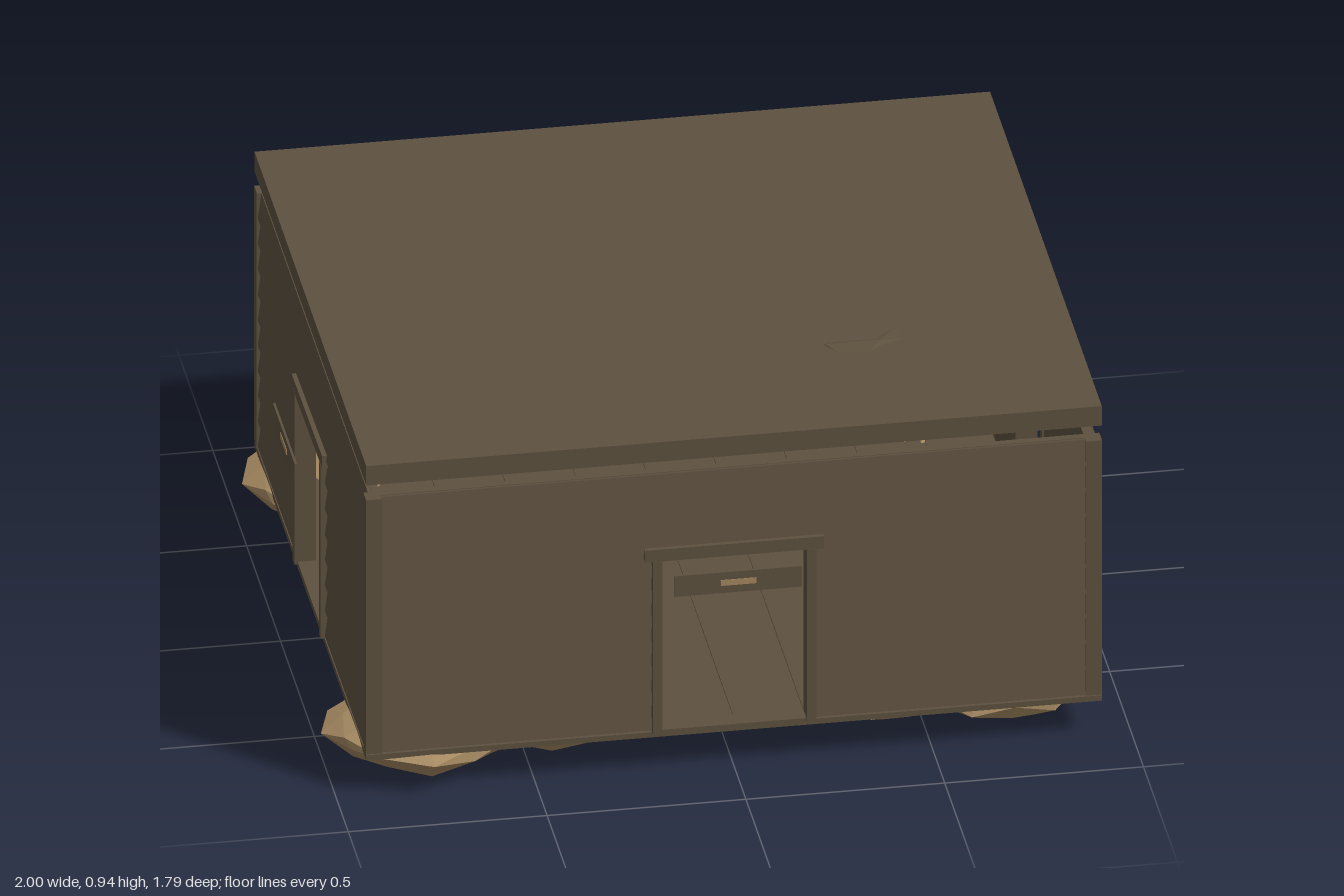
import * as THREE from 'three';

const brown = new THREE.MeshStandardMaterial({ color: 0x5e513f, flatShading: true });
brown.name = 'weathered wood';
const tan = new THREE.MeshStandardMaterial({ color: 0xa48860, flatShading: true });
tan.name = 'sandstone';

const HALF_X = 0.925, HALF_Z = 0.825, FLOOR = 0.122, TOP = 0.84, DOOR = 0.183, DOOR_TOP = 0.6;

function box(parent, name, w, h, d, x, y, z, mat = brown) {
  const mesh = new THREE.Mesh(new THREE.BoxGeometry(w, h, d), mat);
  mesh.name = name;
  mesh.position.set(x, y, z);
  parent.add(mesh);
  return mesh;
}

// Faceted stone: a squashed icosahedron, flatter above its widest ring than below
function stone(parent, name, x, y, z, rx, up, down, rz, seed, mat = tan) {
  const geo = new THREE.IcosahedronGeometry(1, 1);
  const p = geo.attributes.position;
  for (let i = 0; i < p.count; i++) {
    const v = new THREE.Vector3().fromBufferAttribute(p, i);
    const k = Math.round(v.x * 50) * 12.9 + Math.round(v.y * 50) * 7.2 + Math.round(v.z * 50) * 3.7 + seed * 5.3;
    const s = 0.94 + 0.08 * Math.sin(k);
    p.setXYZ(i, v.x * rx * s, v.y * (v.y > 0 ? up : down) * s, v.z * rz * s);
  }
  geo.computeVertexNormals();
  const mesh = new THREE.Mesh(geo, mat);
  mesh.name = name;
  mesh.position.set(x, y, z);
  parent.add(mesh);
}

// Square beam between two points
function beam(parent, name, a, b, size) {
  const from = new THREE.Vector3(...a), to = new THREE.Vector3(...b);
  const mesh = box(parent, name, size, from.distanceTo(to), size, 0, 0, 0);
  mesh.position.copy(from).add(to).multiplyScalar(0.5);
  mesh.quaternion.setFromUnitVectors(new THREE.Vector3(0, 1, 0), to.sub(from).normalize());
}

// One wall facing +z: backing, overlapping boards, doorway and hanging sign
function wall(name, half, dist, lintelTilt) {
  const g = new THREE.Group();
  g.name = name;
  const side = half - DOOR, mid = (half + DOOR) / 2, back = dist - 0.03;
  const h = TOP - FLOOR, rows = 10, step = h / rows;
  for (const s of [-1, 1]) {
    box(g, 'wallBacking', side, h, 0.02, s * mid, FLOOR + h / 2, back);
    box(g, 'doorJamb', 0.024, DOOR_TOP - FLOOR + 0.01, 0.055, s * (DOOR + 0.011), (DOOR_TOP + FLOOR) / 2, dist - 0.018);
  }
  box(g, 'wallBacking', DOOR * 2, TOP - DOOR_TOP, 0.02, 0, (TOP + DOOR_TOP) / 2, back);

  for (let i = 0; i < rows; i++) {
    const y = FLOOR + step * (i + 0.5);
    const above = y - step / 2 > DOOR_TOP - 0.04;
    const spans = above ? [[0, half * 2 - 0.04]] : [[-mid, side - 0.02], [mid, side - 0.02]];
    for (const [x, w] of spans) {
      box(g, 'wallBoard', w, step - 0.001, 0.01, x, y, dist - 0.011).rotation.x = -0.13;
    }
  }
  box(g, 'doorLintel', 0.45, 0.034, 0.05, 0, DOOR_TOP + 0.021, dist - 0.016).rotation.z = lintelTilt;
  box(g, 'threshold', DOOR * 2, 0.012, 0.05, 0, FLOOR - 0.004, dist - 0.024);
  box(g, 'signBoard', 0.32, 0.058, 0.006, 0, 0.562, dist + 0.064);
  box(g, 'signPlate', 0.09, 0.016, 0.002, 0, 0.562, dist + 0.0675, tan);
  return g;
}

export function createModel() {
  const model = new THREE.Group();
  model.name = 'cabin';

  // Floor slab with loose planks laid across it
  box(model, 'floor', HALF_X * 2, 0.015, HALF_Z * 2, 0, 0.112, 0);
  for (let i = 0; i < 10; i++) {
    box(model, 'floorPlank', 0.165, 0.004, HALF_Z * 2 - 0.1, -0.797 + i * 0.177, 0.121, 0);
  }

  // Four walls
  const sides = [
    ['frontWall', HALF_X, HALF_Z, 0, 0],
    ['leftWall', HALF_Z, HALF_X, Math.PI / 2, -0.02],
    ['backWall', HALF_X, HALF_Z, Math.PI, 0],
    ['rightWall', HALF_Z, HALF_X, -Math.PI / 2, 0.02],
  ];
  for (const [name, half, dist, turn, tilt] of sides) {
    const w = wall(name, half, dist, tilt);
    w.rotation.y = turn;
    model.add(w);
  }
  for (const x of [-1, 1]) for (const z of [-1, 1]) {
    box(model, 'cornerPost', 0.035, TOP - FLOOR, 0.035, x * (HALF_X - 0.017), (TOP + FLOOR) / 2, z * (HALF_Z - 0.017));
  }

  // Flat roof floating over a thin plank ceiling
  box(model, 'roof', HALF_X * 2, 0.055, HALF_Z * 2, 0, 0.909, 0);
  for (let i = 0; i < 10; i++) {
    box(model, 'ceilingPlank', 0.17, 0.007, 1.58, -0.8 + i * 0.178, 0.873, 0);
  }
  stone(model, 'roofBoulder', 0.44, 0.82, 0.4, 0.255, 0.138, 0.12, 0.215, 4, brown);

  // Leaning beams and braces inside
  beam(model, 'leaningBeam', [-0.42, 0.12, -0.62], [-0.62, 0.868, -0.32], 0.025);
  beam(model, 'leaningBeam', [-0.5, 0.12, -0.7], [-0.7, 0.868, -0.2], 0.025);
  beam(model, 'roofBrace', [-0.14, 0.65, -0.2], [-0.07, 0.868, -0.12], 0.018);
  beam(model, 'roofBrace', [-0.68, 0.65, 0.2], [-0.61, 0.868, 0.14], 0.018);

  // Small stones set into the floor
  stone(model, 'floorStone', 0.325, 0.12, 0.375, 0.06, 0.05, 0.025, 0.05, 2);
  stone(model, 'floorStone', 0.537, 0.12, 0.478, 0.06, 0.05, 0.025, 0.05, 7);

  // Corner footings: a main rock with a lower one trailing along each wall
  const corners = [
    [-0.76, 0.645, 0.245, 0.215],
    [0.71, 0.62, 0.215, 0.21],
    [-0.745, -0.66, 0.235, 0.245],
    [0.725, -0.665, 0.235, 0.225],
  ];
  corners.forEach(([x, z, rx, rz], i) => {
    const sx = Math.sign(x), sz = Math.sign(z);
    stone(model, 'footingRock', x, 0.092, z, rx, 0.04, 0.087, rz, i * 3 + 1);
    stone(model, 'footingRock', sx * 0.45, 0.092, sz * 0.67, 0.19, 0.018, 0.048, 0.13, i * 3 + 2);
    stone(model, 'footingRock', sx * 0.74, 0.092, sz * 0.42, 0.15, 0.018, 0.055, 0.18, i * 3 + 3);
  });

  return model;
}
